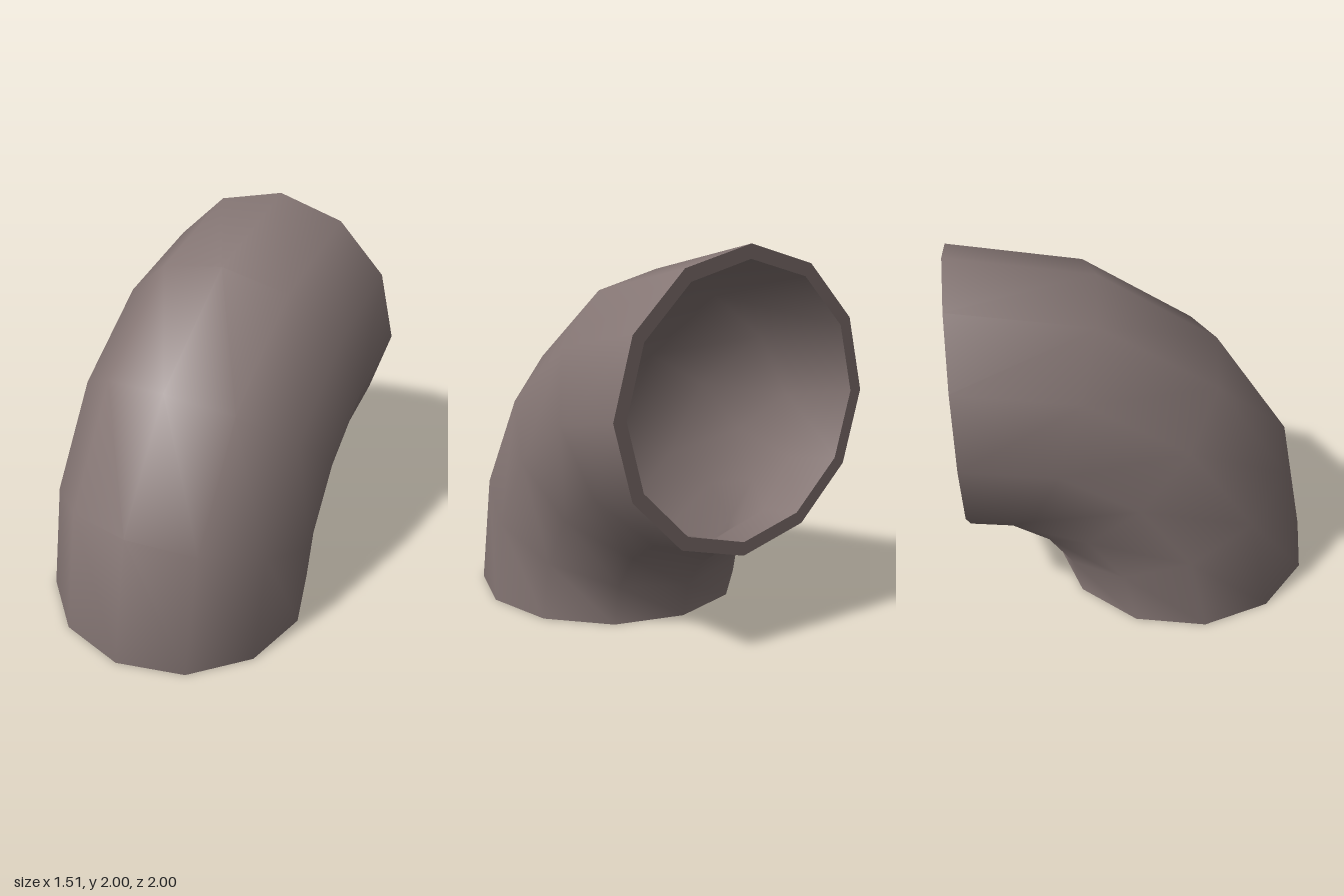
import * as THREE from 'three';

const BEND = 1.245;   // radius of the centre line
const OUTER = 0.755;  // outside radius of the pipe
const INNER = 0.685;  // bore radius
const SIDES = 12;
const STEPS = 4;

// Quarter torus turning from the floor opening up to the back opening
function elbowSurface(radius) {
  return new THREE.TorusGeometry(BEND, radius, SIDES, STEPS, Math.PI / 2)
    .rotateY(-Math.PI / 2)
    .translate(0, 0, -1);
}

// Turn a surface inside out
function flip(geometry) {
  const index = geometry.index.array;
  for (let i = 0; i < index.length; i += 3) {
    [index[i], index[i + 1]] = [index[i + 1], index[i]];
  }
  const normal = geometry.attributes.normal;
  for (let i = 0; i < normal.count; i++) {
    normal.setXYZ(i, -normal.getX(i), -normal.getY(i), -normal.getZ(i));
  }
  return geometry;
}

export function createModel() {
  const group = new THREE.Group();
  group.name = 'pipeElbow';
  const material = new THREE.MeshStandardMaterial({ color: 0x857674 });

  const add = (name, geometry) => {
    const mesh = new THREE.Mesh(geometry, material);
    mesh.name = name;
    group.add(mesh);
  };

  // Outside and bore of the pipe
  add('outerWall', elbowSurface(OUTER));
  add('innerWall', flip(elbowSurface(INNER)));

  // Flat rims closing the wall at both openings
  const rim = () => new THREE.RingGeometry(INNER, OUTER, SIDES);
  add('bottomRim', rim().rotateX(Math.PI / 2).translate(0, 0, BEND - 1));
  add('backRim', rim().rotateY(Math.PI).translate(0, BEND, -1));

  return group;
}
